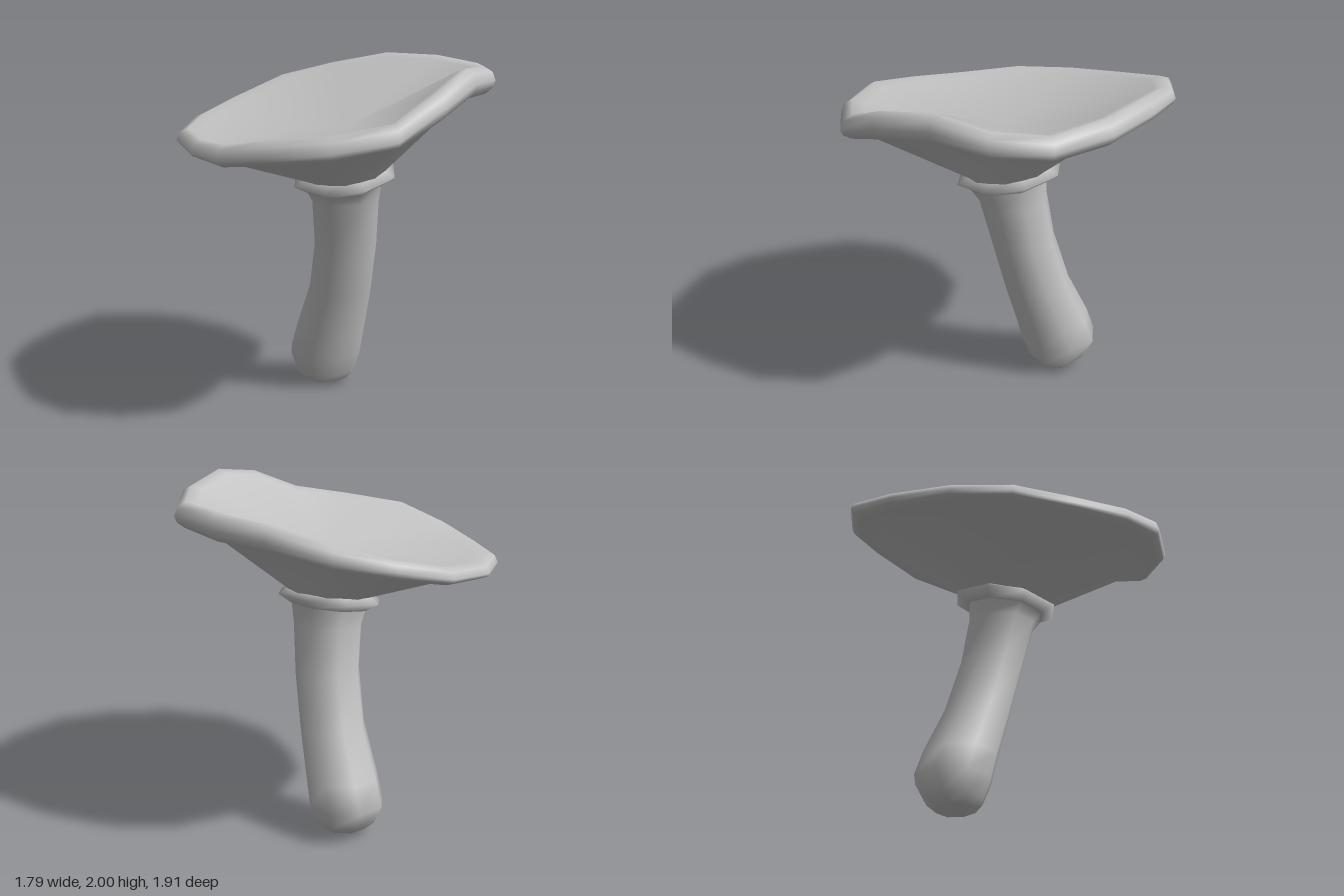
import * as THREE from 'three';

// Skin a list of rings (same point count each); optional points close the ends.
function loft(rings, startPoint, endPoint) {
  const n = rings[0].length, pos = [], idx = [];
  rings.forEach(r => r.forEach(p => pos.push(...p)));
  for (let r = 0; r < rings.length - 1; r++) {
    for (let i = 0; i < n; i++) {
      const j = (i + 1) % n, a = r * n + i, b = r * n + j;
      idx.push(a, a + n, b, b, a + n, b + n);
    }
  }
  const close = (point, base, flip) => {
    const c = pos.length / 3;
    pos.push(...point);
    for (let i = 0; i < n; i++) {
      const a = base + i, b = base + (i + 1) % n;
      if (flip) idx.push(c, a, b); else idx.push(a, c, b);
    }
  };
  if (startPoint) close(startPoint, 0, true);
  if (endPoint) close(endPoint, (rings.length - 1) * n, false);
  const g = new THREE.BufferGeometry();
  g.setAttribute('position', new THREE.Float32BufferAttribute(pos, 3));
  g.setIndex(idx);
  g.computeVertexNormals();
  return g;
}

// Wavy cap outline: x, z, then heights of the outer edge, the top and the underside
const RIM = [
  [-0.02, -0.96, 1.745, 1.795, 1.67], [0.30, -0.845, 1.80, 1.87, 1.72],
  [0.58, -0.60, 1.865, 1.945, 1.78], [0.79, -0.29, 1.875, 1.955, 1.78],
  [0.89, 0.07, 1.87, 1.945, 1.78], [0.78, 0.38, 1.89, 1.965, 1.79],
  [0.54, 0.62, 1.915, 2.0, 1.81], [0.24, 0.86, 1.84, 1.925, 1.74],
  [-0.07, 0.955, 1.70, 1.79, 1.63], [-0.41, 0.88, 1.65, 1.735, 1.58],
  [-0.71, 0.67, 1.62, 1.70, 1.545], [-0.87, 0.38, 1.56, 1.635, 1.505],
  [-0.90, 0.04, 1.54, 1.61, 1.50], [-0.87, -0.32, 1.55, 1.615, 1.505],
  [-0.68, -0.62, 1.585, 1.64, 1.54], [-0.37, -0.85, 1.645, 1.70, 1.59],
];

// Stem sections: y, min x, max x, min z, max z
const STEM = [
  [0.03, -0.11, 0.15, -0.38, -0.15],
  [0.08, -0.16, 0.20, -0.44, -0.11],
  [0.20, -0.20, 0.24, -0.515, -0.06],
  [0.35, -0.18, 0.245, -0.46, -0.02],
  [0.62, -0.14, 0.245, -0.33, 0.06],
  [0.93, -0.14, 0.245, -0.235, 0.14],
  [1.20, -0.175, 0.235, -0.195, 0.205],
];

const SIDES = 8;

// Level ellipse ring for the stem
function stemRing([y, x0, x1, z0, z1]) {
  return Array.from({ length: SIDES }, (_, i) => {
    const a = i / SIDES * Math.PI * 2;
    return [(x0 + x1) / 2 + (x1 - x0) / 2 * Math.sin(a), y, (z0 + z1) / 2 - (z1 - z0) / 2 * Math.cos(a)];
  });
}

// Tilted ring around the top of the stem, radius r, raised by dy
function neckRing(r, dy, n) {
  return Array.from({ length: n }, (_, i) => {
    const a = i / n * Math.PI * 2;
    const x = 0.015 + r * Math.sin(a), z = 0.025 - r * Math.cos(a);
    return [x, 1.34 + dy + 0.15 * x - 0.1 * z, z];
  });
}

// Scaled copy of the cap outline, lifted towards the top (+) or underside (-)
function rimRing(scale, lift) {
  return RIM.map(([x, z, edge, top, bottom]) =>
    [x * scale, edge + Math.abs(lift) * ((lift > 0 ? top : bottom) - edge), z * scale]);
}

export function createModel() {
  const model = new THREE.Group();
  model.name = 'mushroom';
  const grey = new THREE.MeshStandardMaterial({ color: 0xc4c4c4 });
  grey.name = 'plain grey';
  const add = (name, geometry) => {
    const mesh = new THREE.Mesh(geometry, grey);
    mesh.name = name;
    model.add(mesh);
  };

  // Bent stem with a rounded foot
  const stemTop = neckRing(0.225, -0.05, SIDES);
  add('stem', loft([...STEM.map(stemRing), stemTop], [0.03, 0, -0.23]));

  // Thin flared collar under the cap
  add('collar', loft([stemTop, neckRing(0.305, 0, SIDES), neckRing(0.23, 0.04, SIDES)]));

  // Cap: funnel underside, rolled rim, dished top
  add('cap', loft([
    neckRing(0.21, -0.04, 16), neckRing(0.24, 0.03, 16), rimRing(0.79, -1.05),
    rimRing(0.94, -0.75), rimRing(0.985, -0.4), rimRing(1, 0),
    rimRing(0.98, 0.65), rimRing(0.93, 1), rimRing(0.86, 0.75),
  ], null, [0.03, 1.63, 0.05]));

  return model;
}
